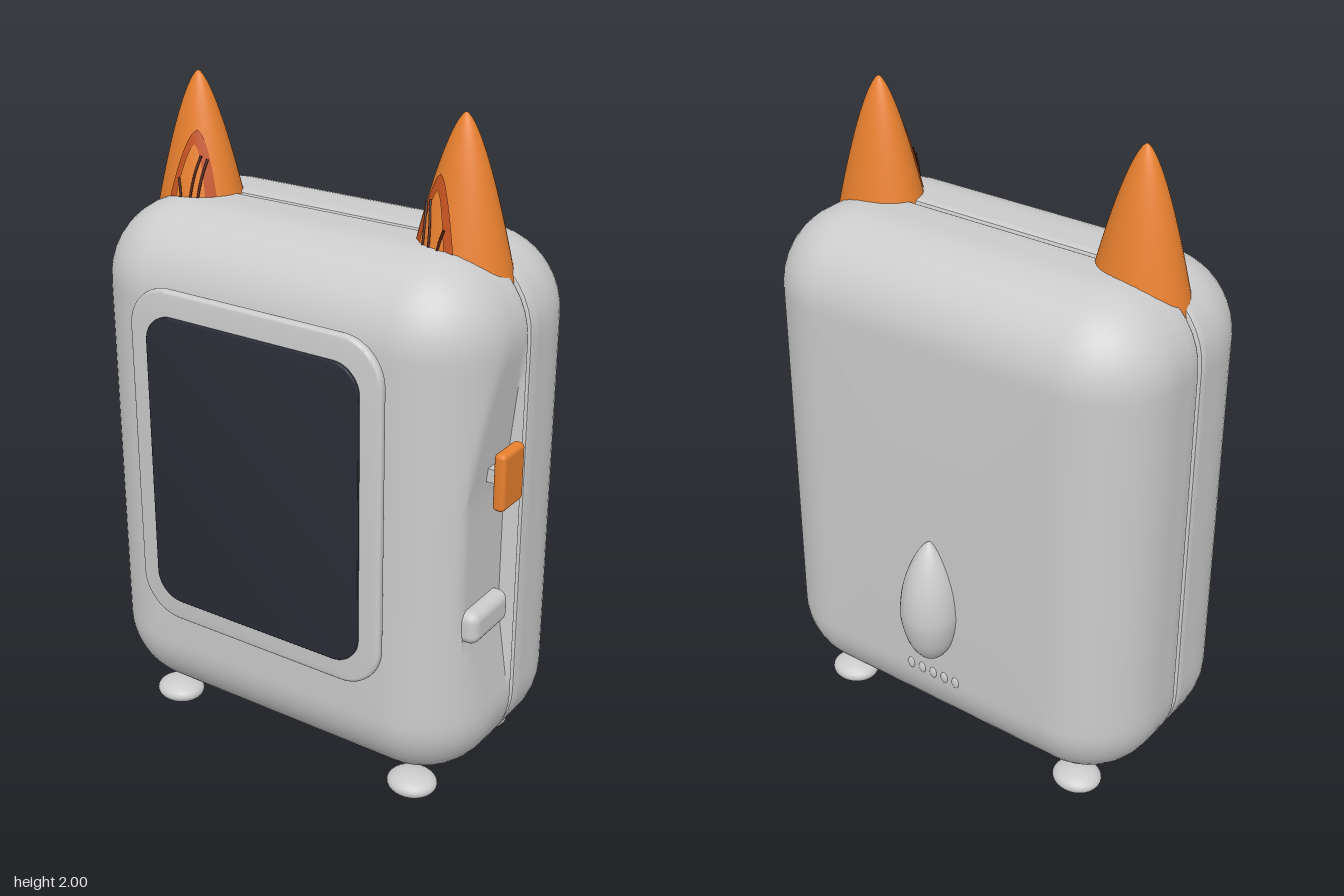
import * as THREE from 'three';
import { toCreasedNormals } from 'three/addons/utils/BufferGeometryUtils.js';
import { RoundedBoxGeometry } from 'three/addons/geometries/RoundedBoxGeometry.js';
import { ParametricGeometry } from 'three/addons/geometries/ParametricGeometry.js';

const CX = -0.0175; // the symmetry plane of the body
const CY = 0.865;
const HW = 0.6475, HH = 0.795, R = 0.24;

const mat = (color) => new THREE.MeshStandardMaterial({ color, side: THREE.DoubleSide });

function add(parent, name, geometry, material, x = 0, y = 0, z = 0) {
  const mesh = new THREE.Mesh(geometry, material);
  mesh.name = name;
  mesh.position.set(x, y, z);
  parent.add(mesh);
  return mesh;
}

// Rounded rectangle outline, inset by d, counter-clockwise seen from +z
function outline(d) {
  const corners = 10, sides = 28, pts = [];
  const corner = (k, j) => {
    const a = (k + j / corners) * Math.PI / 2;
    const sx = k === 0 || k === 3 ? 1 : -1, sy = k < 2 ? 1 : -1;
    return new THREE.Vector2(CX + sx * (HW - R) + (R - d) * Math.cos(a),
      CY + sy * (HH - R) + (R - d) * Math.sin(a));
  };
  for (let k = 0; k < 4; k++) {
    for (let j = 0; j <= corners; j++) pts.push(corner(k, j));
    const a = corner(k, corners), b = corner((k + 1) % 4, 0);
    for (let j = 1; j < sides; j++) pts.push(a.clone().lerp(b, j / sides));
  }
  return pts;
}

// Half of the shell: loops from the seam out to the flat face
function shellHalf(seamZ, depth, dir, rule) {
  const loops = [[0.012, 0], [0.004, 0.004], [0, 0.012]];
  const straight = depth - R;
  for (let i = 1; i <= 6; i++) loops.push([0, 0.012 + (straight - 0.012) * i / 6]);
  for (let i = 1; i <= 16; i++) {
    const a = i / 16 * Math.PI / 2;
    loops.push([R * (1 - Math.cos(a)), straight + R * Math.sin(a)]);
  }
  const pos = [], idx = [];
  let n = 0;
  for (const [d, h] of loops) {
    const pts = outline(d);
    n = pts.length;
    for (const p of pts) pos.push(rule ? rule(p.x, p.y, h) : p.x, p.y, seamZ + dir * h);
  }
  const tri = (a, b, c) => (dir > 0 ? idx.push(a, b, c) : idx.push(a, c, b));
  const last = loops.length - 1, c0 = loops.length * n;
  pos.push(CX, CY, seamZ, CX, CY, seamZ + dir * depth);
  for (let j = 0; j < n; j++) {
    const k = (j + 1) % n;
    for (let i = 0; i < last; i++) {
      const a = i * n;
      tri(a + j, a + k, a + n + j);
      tri(a + k, a + n + k, a + n + j);
    }
    tri(c0, k, j);
    tri(c0 + 1, last * n + j, last * n + k);
  }
  const g = new THREE.BufferGeometry();
  g.setAttribute('position', new THREE.Float32BufferAttribute(pos, 3));
  g.setIndex(idx);
  return toCreasedNormals(g, 0.6);
}

// Flat cut for the lever, fading out at its top and bottom
function leverCut(x, y, h) {
  if (h < 0.025) return x;
  const w = THREE.MathUtils.clamp(Math.min((y - 0.32) / 0.28, (1.42 - y) / 0.42), 0, 1);
  return Math.min(x, 0.63 - 0.043 * w);
}

// Rounded slab given by its limits
function slab(x0, x1, y0, y1, r, depth, bevel) {
  const a = x0 + bevel, b = x1 - bevel, c = y0 + bevel, d = y1 - bevel, q = r - bevel;
  const s = new THREE.Shape();
  s.absarc(b - q, d - q, q, 0, Math.PI / 2);
  s.absarc(a + q, d - q, q, Math.PI / 2, Math.PI);
  s.absarc(a + q, c + q, q, Math.PI, Math.PI * 1.5);
  s.absarc(b - q, c + q, q, Math.PI * 1.5, Math.PI * 2);
  s.closePath();
  const g = new THREE.ExtrudeGeometry(s, {
    depth: depth - 2 * bevel, bevelSize: bevel, bevelThickness: bevel, bevelSegments: 3, curveSegments: 10,
  });
  return toCreasedNormals(g.translate(0, 0, bevel), 0.6);
}

// Ear: a curved cone with an oval section; side is +1 or -1
function makeEar(side, orange, red, dark) {
  const ear = new THREE.Group();
  ear.name = side > 0 ? 'leftEar' : 'rightEar';
  ear.position.set(CX + side * 0.4385, 0, 0.04);
  const RX = 0.15, RZ = 0.12, TOP = 2, BASE = 1.53;
  const spread = (y) => 1.02 * Math.pow((TOP - y) / 0.45, 0.66);
  const profile = [];
  for (let i = 0; i <= 24; i++) {
    const y = BASE + (TOP - BASE) * (1 - (1 - i / 24) ** 2);
    profile.push(new THREE.Vector2(i === 24 ? 0 : spread(y), y));
  }
  add(ear, 'earCone', new THREE.LatheGeometry(profile, 40).scale(RX, 1, RZ), orange);

  // Point lying on the front of the ear, lifted a little
  const onEar = (x, y, lift, out) => {
    const s = spread(y), t = x / RX;
    return out.set(side * x, y, RZ * Math.sqrt(Math.max(s * s - t * t, 0)) + lift);
  };
  const patch = (name, half, top, lift, material) => {
    const fn = (u, v, out) => {
      const w = half * Math.pow(1 - v, 0.6);
      onEar(-0.036 + (u * 2 - 1) * w, 1.61 + (top - 1.61) * v, lift, out);
    };
    add(ear, name, new ParametricGeometry(fn, 12, 20), material);
  };
  patch('innerEarRim', 0.078, 1.845, 0.005, red);
  patch('innerEar', 0.053, 1.805, 0.009, orange);
  for (const [x, top, bend] of [[-0.062, 1.765, -0.012], [-0.04, 1.775, -0.018], [-0.012, 1.71, 0.014]]) {
    const pts = [0, 0.33, 0.67, 1].map((t) =>
      onEar(x + bend * t * t, 1.63 + (top - 1.63) * t, 0.01, new THREE.Vector3()));
    add(ear, 'earHair', new THREE.TubeGeometry(new THREE.CatmullRomCurve3(pts), 12, 0.004, 6), dark);
  }
  return ear;
}

export function createModel() {
  const model = new THREE.Group();
  const grey = mat(0xcccccc), orange = mat(0xe8802f), red = mat(0xc4521f);
  const dark = mat(0x4a1808), glass = mat(0x2a2c36);

  // Two-part shell with a narrow seam
  add(model, 'frontShell', shellHalf(0.03, 0.34, 1, leverCut), grey);
  add(model, 'backShell', shellHalf(0.02, 0.345, -1), grey);

  // Screen and its raised surround
  add(model, 'screenFrame', slab(-0.44, 0.405, 0.425, 1.475, 0.13, 0.028, 0.01), grey, 0, 0, 0.376);
  add(model, 'screen', slab(-0.375, 0.34, 0.495, 1.4, 0.085, 0.014, 0.003), glass, 0, 0, 0.4);

  // Ears
  for (const side of [1, -1]) model.add(makeEar(side, orange, red, dark));

  // Lever, its stem and the stop below
  add(model, 'lever', new RoundedBoxGeometry(0.036, 0.17, 0.116, 4, 0.014), orange, 0.645, 1.065, 0.142);
  add(model, 'leverStem', new THREE.BoxGeometry(0.08, 0.04, 0.05), grey, 0.595, 1.065, 0.142);
  add(model, 'leverStop', new RoundedBoxGeometry(0.07, 0.1, 0.195, 4, 0.03), grey, 0.595, 0.63, 0.167);

  // Teardrop tail on the back
  const drop = new THREE.SplineCurve([
    [0, 0.385], [0.035, 0.4], [0.068, 0.45], [0.087, 0.52], [0.09, 0.575],
    [0.08, 0.65], [0.055, 0.725], [0.025, 0.78], [0, 0.805],
  ].map(([x, y]) => new THREE.Vector2(x, y))).getPoints(32);
  drop.forEach((p) => { p.x = Math.max(p.x, 0); });
  add(model, 'tail', new THREE.LatheGeometry(drop, 32), grey, CX, 0, -0.33);

  // Row of small ribs below the tail
  for (let i = -2; i <= 2; i++) {
    add(model, 'rib', new THREE.SphereGeometry(1, 12, 8).scale(0.014, 0.02, 0.008), grey, CX + i * 0.042, 0.315, -0.323);
  }

  // Feet
  for (const x of [-0.44, 0.44]) for (const z of [0.237, -0.185]) {
    add(model, 'foot', new THREE.SphereGeometry(1, 28, 16).scale(0.077, 0.035, 0.07), grey, CX + x, 0.036, z);
  }
  return model;
}
